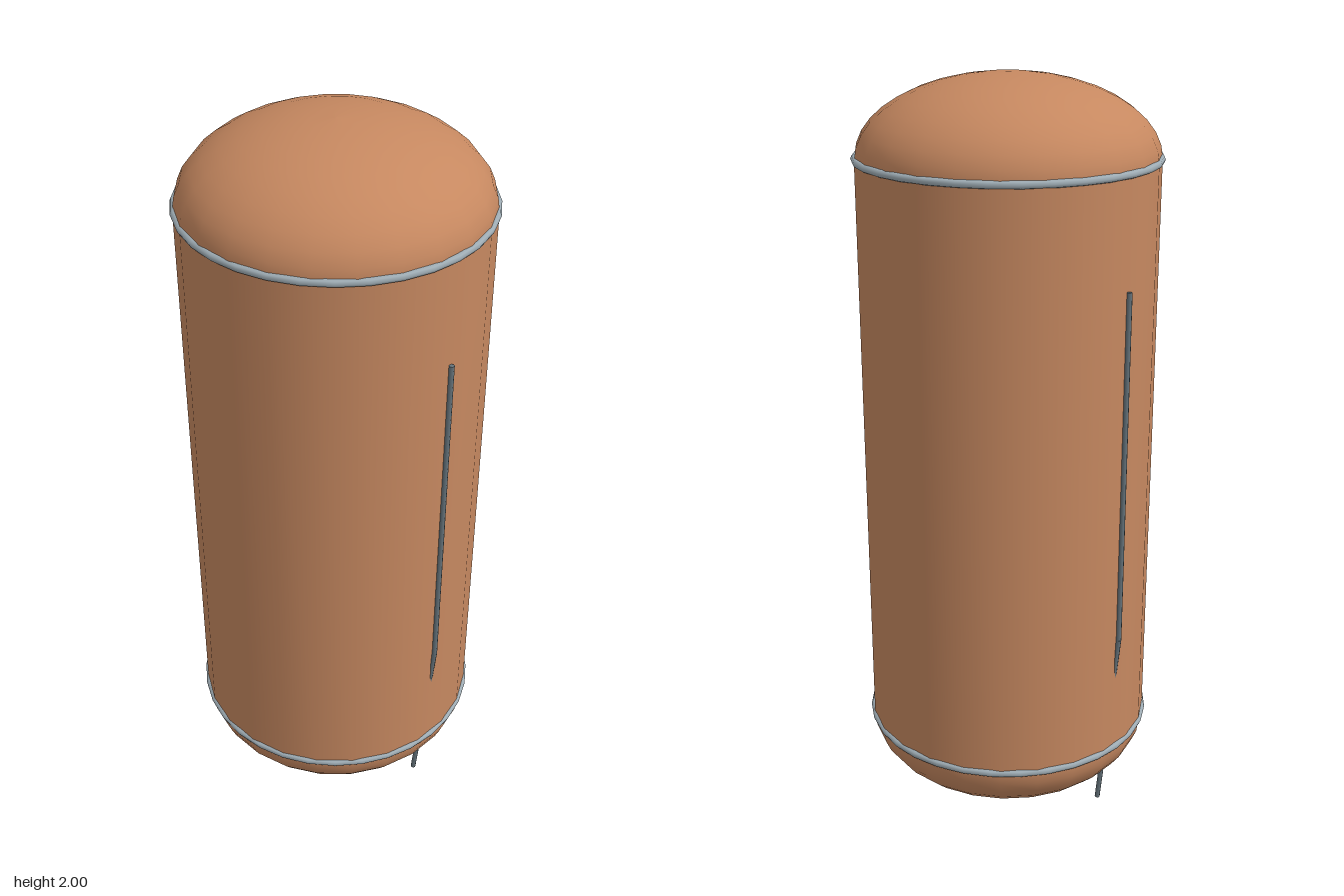
import * as THREE from 'three';

const R = 0.39, DOME = 0.212, TOP = 2;

export function createModel() {
  const model = new THREE.Group();
  model.name = 'tank';
  const copper = new THREE.MeshStandardMaterial({ name: 'copper', color: 0xc68860 });
  const steel = new THREE.MeshStandardMaterial({ name: 'light steel', color: 0x9fadb5 });
  const darkSteel = new THREE.MeshStandardMaterial({ name: 'dark steel', color: 0x66747c });

  const add = (parent, name, geometry, material) => {
    const mesh = new THREE.Mesh(geometry, material);
    mesh.name = name;
    parent.add(mesh);
    return mesh;
  };

  // Shell: straight wall between two elliptical domes
  const profile = [];
  const steps = 10;
  for (let i = 0; i <= steps; i++) {
    const a = (i / steps) * Math.PI / 2;
    profile.push(new THREE.Vector2(R * Math.sin(a), DOME * (1 - Math.cos(a))));
  }
  for (let i = steps; i >= 0; i--) {
    profile.push(new THREE.Vector2(profile[i].x, TOP - profile[i].y));
  }
  add(model, 'shell', new THREE.LatheGeometry(profile, 24), copper);

  // Seam bands where the domes meet the wall
  for (const [name, y] of [['lowerBand', 0.217], ['upperBand', 1.79]]) {
    const band = add(model, name, new THREE.TorusGeometry(0.387, 0.01, 8, 32), steel);
    band.rotation.x = Math.PI / 2;
    band.position.y = y;
  }

  // Two opposite pipes: upright along the wall, then leaning in through the lower dome
  const rod = (parent, name, from, to) => {
    const dir = to.clone().sub(from);
    const mesh = add(parent, name, new THREE.CylinderGeometry(0.007, 0.007, dir.length(), 8), darkSteel);
    mesh.position.copy(from).add(to).multiplyScalar(0.5);
    mesh.quaternion.setFromUnitVectors(new THREE.Vector3(0, 1, 0), dir.normalize());
  };
  for (const [name, turn] of [['frontPipe', 0], ['backPipe', Math.PI]]) {
    const pipe = new THREE.Group();
    pipe.name = name;
    pipe.rotation.y = 0.38 + turn;
    const bend = new THREE.Vector3(0, 0.55, 0.393);
    rod(pipe, 'pipeUpright', bend, new THREE.Vector3(0, 1.505, 0.393));
    rod(pipe, 'pipeTail', new THREE.Vector3(0, 0.03, 0.335), bend);
    model.add(pipe);
  }
  return model;
}
